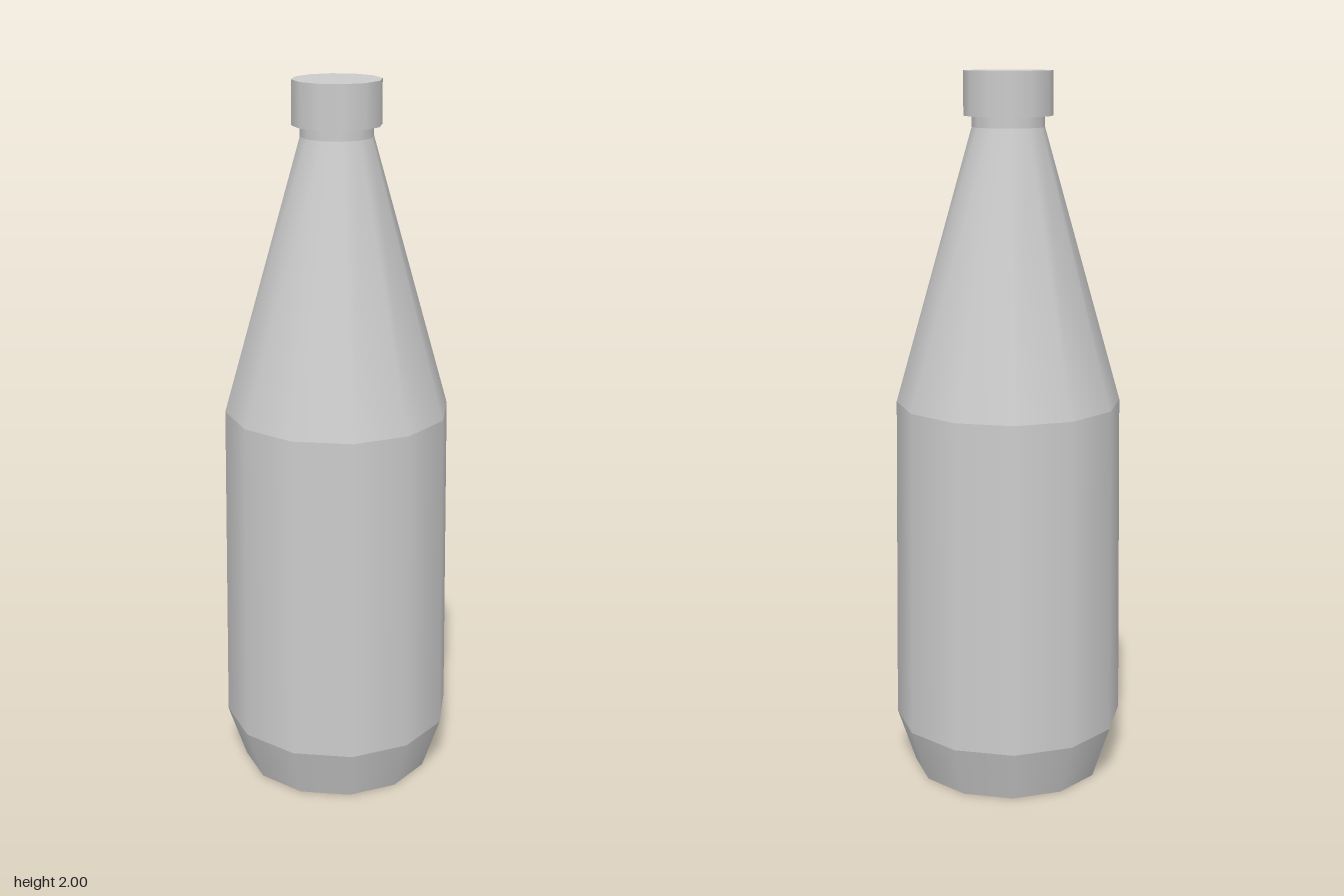
import * as THREE from 'three';

const SIDES = 12;

export function createModel() {
  const group = new THREE.Group();
  const material = new THREE.MeshStandardMaterial({ color: 0xcccccc });

  const add = (name, geometry, y) => {
    const mesh = new THREE.Mesh(geometry, material);
    mesh.name = name;
    mesh.position.y = y;
    group.add(mesh);
  };

  // Open bottle sections: name, bottom height, top height, bottom radius, top radius
  const sections = [
    ['taperedBase', 0, 0.155, 0.275, 0.327],
    ['body', 0.155, 1.09, 0.327, 0.315],
    ['shoulder', 1.09, 1.85, 0.315, 0.1],
    ['neck', 1.85, 1.88, 0.1, 0.1],
  ];
  for (const [name, y0, y1, r0, r1] of sections) {
    add(name, new THREE.CylinderGeometry(r1, r0, y1 - y0, SIDES, 1, true), (y0 + y1) / 2);
  }

  // Flat underside, with its corners in line with the base
  const underside = new THREE.CircleGeometry(0.275, SIDES);
  underside.rotateX(Math.PI / 2);
  add('underside', underside, 0);

  // Closed cap, slightly wider than the neck
  add('cap', new THREE.CylinderGeometry(0.122, 0.122, 0.12, SIDES), 1.94);

  return group;
}
